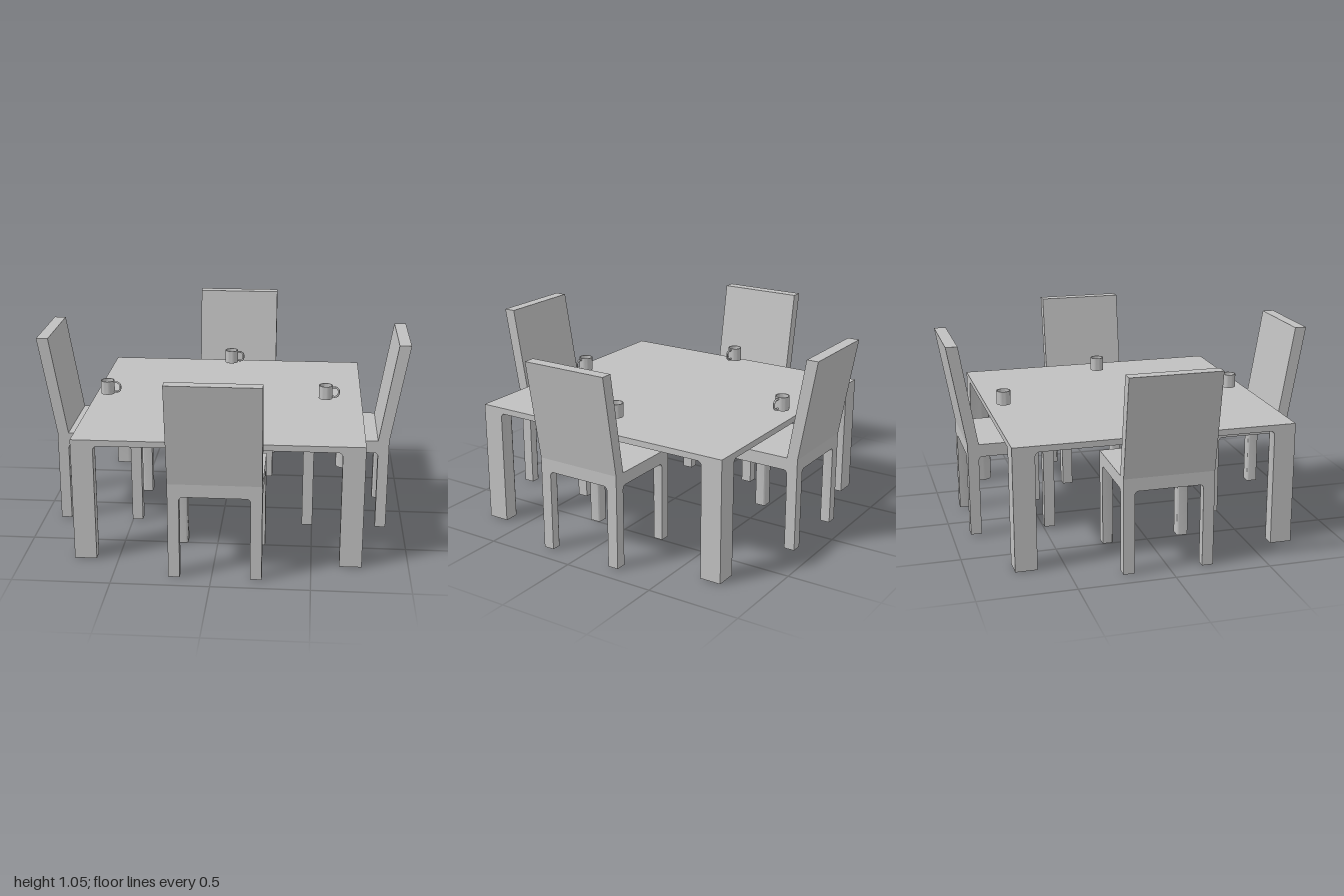
import * as THREE from 'three';
import { toCreasedNormals } from 'three/addons/utils/BufferGeometryUtils.js';

const grey = new THREE.MeshStandardMaterial({ color: 0xc0c0c0 });
grey.name = 'plain grey';

function add(parent, geometry, name) {
  const mesh = new THREE.Mesh(geometry, grey);
  mesh.name = name;
  parent.add(mesh);
  return mesh;
}

// Upright leg: square outer corner at the origin, rounded inner corner (+x, -z),
// flaring into the slab above through a small fillet.
function legGeometry(width, height, round, fillet) {
  const shape = new THREE.Shape();
  shape.moveTo(0, 0);
  shape.lineTo(width, 0);
  shape.lineTo(width, width - round);
  shape.absarc(width - round, width - round, round, 0, Math.PI / 2, false);
  shape.lineTo(0, width);
  shape.closePath();
  const steps = 6;
  const geo = new THREE.ExtrudeGeometry(shape, { depth: steps, steps, bevelEnabled: false, curveSegments: 6 });
  const p = geo.attributes.position;
  for (let i = 0; i < p.count; i++) {
    const k = Math.round(p.getZ(i));
    const a = (Math.max(k - 1, 0) / (steps - 1)) * Math.PI / 2;
    const grow = (width + fillet * (1 - Math.cos(a))) / width;
    const y = k === 0 ? 0 : height - fillet + fillet * Math.sin(a);
    p.setXYZ(i, p.getX(i) * grow, p.getY(i) * grow, y);
  }
  geo.rotateX(-Math.PI / 2);
  return toCreasedNormals(geo, 0.6);
}

// Four legs, one turned into each corner of a rectangle
function addLegs(parent, geometry, x0, x1, z0, z1, y, name) {
  [[x0, z1], [x1, z1], [x1, z0], [x0, z0]].forEach(([x, z], i) => {
    const leg = add(parent, geometry, name);
    leg.position.set(x, y, z);
    leg.rotation.y = i * Math.PI / 2;
  });
}

function createTable() {
  const table = new THREE.Group();
  table.name = 'table';
  const top = add(table, new THREE.BoxGeometry(1.49, 0.032, 1.49), 'tableTop');
  top.position.set(0.015, 0.649, -0.015);
  addLegs(table, legGeometry(0.115, 0.626, 0.055, 0.025), -0.73, 0.76, -0.76, 0.73, 0.008, 'tableLeg');
  return table;
}

// Chair placed behind the origin and facing +z
function createChair(name) {
  const chair = new THREE.Group();
  chair.name = name;
  const width = 0.472;
  // Side profile of seat and leaning back as (z, y)
  const profile = [
    [-0.907, 0.447], [-0.445, 0.447], [-0.445, 0.515], [-0.847, 0.515],
    [-0.937, 1.05], [-1, 1.05], [-0.907, 0.515],
  ].map(([z, y]) => new THREE.Vector2(z, y));
  const seat = new THREE.ExtrudeGeometry(new THREE.Shape(profile), { depth: width, bevelEnabled: false });
  seat.rotateY(-Math.PI / 2).translate(width / 2, 0, 0);
  add(chair, seat, 'seatAndBack');
  addLegs(chair, legGeometry(0.058, 0.438, 0.012, 0.022), -width / 2, width / 2, -0.907, -0.445, 0.01, 'chairLeg');
  return chair;
}

function createCup() {
  const cup = new THREE.Group();
  cup.name = 'cup';
  const profile = [[0, 0], [0.038, 0], [0.038, 0.075], [0.033, 0.075], [0.033, 0.006], [0, 0.006]]
    .map(([r, y]) => new THREE.Vector2(r, y));
  add(cup, toCreasedNormals(new THREE.LatheGeometry(profile, 28), 0.6), 'cupBody');
  const path = new THREE.CatmullRomCurve3([
    [0.035, 0.064], [0.056, 0.065], [0.071, 0.053], [0.073, 0.038], [0.07, 0.022], [0.056, 0.011], [0.035, 0.012],
  ].map(([x, y]) => new THREE.Vector3(x, y, 0)));
  add(cup, new THREE.TubeGeometry(path, 20, 0.0055, 8), 'cupHandle');
  cup.rotation.y = -0.14;
  return cup;
}

export function createModel() {
  const model = new THREE.Group();
  model.name = 'diningSet';
  model.add(createTable());

  // Chairs: name, turn, offset
  [
    ['backChair', 0, [0.018, 0.011, 0.003]],
    ['rightChair', Math.PI / 2, [0, 0, -0.01]],
    ['frontChair', Math.PI, [0.018, -0.003, 0]],
    ['leftChair', -Math.PI / 2, [0, 0, -0.01]],
  ].forEach(([name, turn, offset]) => {
    const chair = createChair(name);
    chair.rotation.y = turn;
    chair.position.set(...offset);
    model.add(chair);
  });

  // One cup per seat
  [[-0.66, 0], [0.56, 0], [-0.01, -0.67], [-0.01, 0.63]].forEach(([x, z]) => {
    const cup = createCup();
    cup.position.set(x, 0.679, z);
    model.add(cup);
  });
  return model;
}
